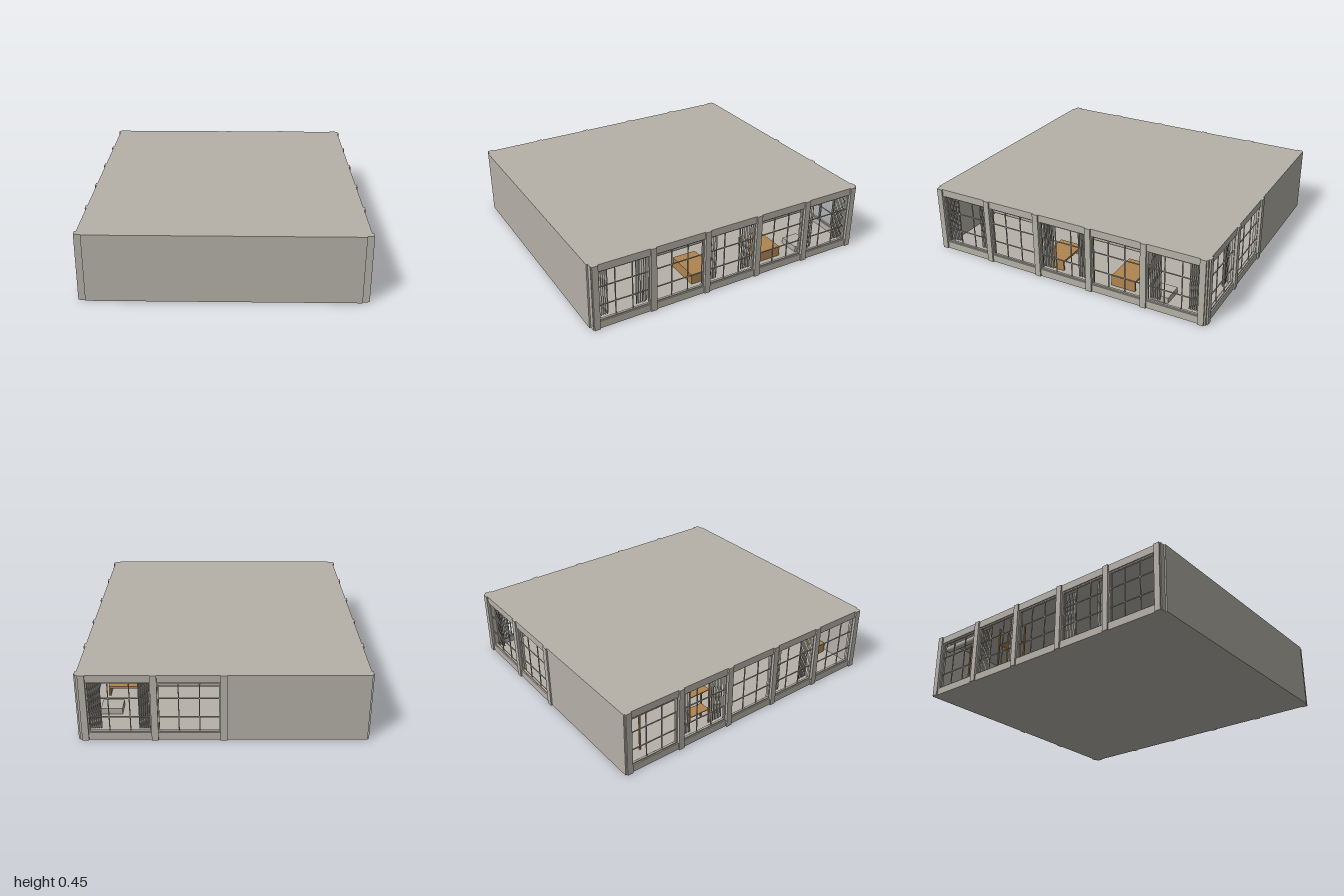
import * as THREE from 'three';

const concrete = new THREE.MeshStandardMaterial({ color: 0xb5b1a8 });
concrete.name = 'warm grey';
const fabric = new THREE.MeshStandardMaterial({ color: 0xaaa79f, side: THREE.DoubleSide });
fabric.name = 'curtain grey';
const wood = new THREE.MeshStandardMaterial({ color: 0xb08550 });
wood.name = 'wood';

// Box given by its minimum and maximum on each axis
function box(parent, name, x0, x1, y0, y1, z0, z1, mat = concrete) {
  const m = new THREE.Mesh(new THREE.BoxGeometry(x1 - x0, y1 - y0, z1 - z0), mat);
  m.position.set((x0 + x1) / 2, (y0 + y1) / 2, (z0 + z1) / 2);
  m.name = name;
  parent.add(m);
  return m;
}

// Pleated curtain hanging in the local xy plane
function curtain(parent, x, width) {
  const geo = new THREE.PlaneGeometry(width, 0.34, 24, 1);
  const p = geo.attributes.position;
  for (let i = 0; i < p.count; i++) {
    p.setZ(i, 0.008 * Math.sin((p.getX(i) / width + 0.5) * Math.PI * 12));
  }
  geo.computeVertexNormals();
  const m = new THREE.Mesh(geo, fabric);
  m.position.set(x, 0.225, -0.045);
  m.name = 'curtain';
  parent.add(m);
}

// One window bay of given clear width; local +z faces outdoors, z = 0 is the wall face
function windowBay(width, cover) {
  const g = new THREE.Group();
  g.name = 'windowBay';
  const h = width / 2;
  box(g, 'sill', -h, h, 0, 0.05, -0.03, 0);
  box(g, 'lintel', -h, h, 0.4, 0.45, -0.03, 0);
  // Thin frame around the opening
  box(g, 'frameBottom', -h, h, 0.05, 0.058, -0.022, -0.008);
  box(g, 'frameTop', -h, h, 0.392, 0.4, -0.022, -0.008);
  for (const s of [-1, 1]) {
    box(g, 'frameSide', s * (h - 0.004) - 0.004, s * (h - 0.004) + 0.004, 0.058, 0.392, -0.022, -0.008);
    // Glazing bars at the thirds
    const x = s * width / 6;
    box(g, 'verticalBar', x - 0.003, x + 0.003, 0.058, 0.392, -0.018, -0.012);
    const y = 0.22 + s * 0.065;
    box(g, 'horizontalBar', -h, h, y - 0.003, y + 0.003, -0.018, -0.012);
    if (cover === 'curtain') curtain(g, s * (h - 0.042), 0.076);
  }
  if (cover === 'blind') {
    const roll = new THREE.Mesh(new THREE.CylinderGeometry(0.023, 0.023, width - 0.01, 24), concrete);
    roll.rotation.z = Math.PI / 2;
    roll.position.set(0, 0.372, -0.055);
    roll.name = 'rollerBlind';
    g.add(roll);
  }
  return g;
}

// Desk with panel sides, a back panel and a thick top
function desk(parent, x0, x1, z0, z1, h) {
  const g = new THREE.Group();
  g.name = 'desk';
  box(g, 'deskTop', x0, x1, h - 0.015, h, z0, z1, wood);
  box(g, 'deskSide', x0, x0 + 0.012, 0.01, h - 0.015, z0, z1, wood);
  box(g, 'deskSide', x1 - 0.012, x1, 0.01, h - 0.015, z0, z1, wood);
  box(g, 'deskPanel', x0 + 0.012, x1 - 0.012, 0.01, h - 0.015, z1 - 0.012, z1, wood);
  parent.add(g);
}

export function createModel() {
  const root = new THREE.Group();
  root.name = 'officeFloor';

  // Slabs
  box(root, 'floorSlab', -0.888, 0.888, 0, 0.01, -0.988, 0.985);
  box(root, 'roofSlab', -0.888, 0.888, 0.435, 0.45, -0.988, 0.985);

  // Solid walls
  box(root, 'frontWall', -0.855, 0.855, 0, 0.45, 0.965, 1);
  box(root, 'backWall', -0.89, -0.02, 0, 0.45, -0.99, -0.96);

  // Side columns and window bays
  const first = -0.96, step = 0.385;
  for (const s of [-1, 1]) {
    for (let i = 0; i < 6; i++) {
      const z = first + i * step;
      box(root, 'sideColumn', Math.min(s * 0.9, s * 0.85), Math.max(s * 0.9, s * 0.85), 0, 0.45, z - 0.02, z + 0.02);
    }
    for (let i = 0; i < 5; i++) {
      const even = i % 2 === 0;
      let cover = even ? 'curtain' : 'blind';
      if (s < 0) cover = i === 0 ? 'blind' : even ? 'none' : 'curtain';
      const bay = windowBay(step - 0.04, cover);
      bay.position.set(s * 0.89, 0, first + (i + 0.5) * step);
      bay.rotation.y = s * Math.PI / 2;
      root.add(bay);
    }
    // Front corner posts
    box(root, 'cornerPost', s > 0 ? 0.855 : -0.89, s > 0 ? 0.89 : -0.855, 0, 0.45, 0.96, 0.99);
  }

  // Back columns and window bays
  const backX = [0, 0.425, 0.855];
  backX.forEach((x) => box(root, 'backColumn', x - 0.021, x + 0.021, 0, 0.45, -1, -0.95));
  box(root, 'backCornerPost', 0.876, 0.89, 0, 0.45, -0.99, -0.95);
  for (let i = 0; i < 2; i++) {
    const bay = windowBay(backX[i + 1] - backX[i] - 0.042, i ? 'curtain' : 'blind');
    bay.position.set((backX[i] + backX[i + 1]) / 2, 0, -0.99);
    bay.rotation.y = Math.PI;
    root.add(bay);
  }

  // Furniture
  desk(root, 0.54, 0.78, 0.07, 0.24, 0.08);
  desk(root, 0.54, 0.78, -0.46, -0.29, 0.08);
  desk(root, -0.66, -0.42, 0.85, 0.94, 0.08);
  box(root, 'lowBench', 0.66, 0.8, 0.01, 0.05, -0.7, -0.58);

  // Open wooden rack by the right-hand windows
  const rack = new THREE.Group();
  rack.name = 'rack';
  for (const z of [-0.28, -0.44]) {
    for (const x of [-0.8, -0.72]) box(rack, 'rackPost', x - 0.005, x + 0.005, 0.01, 0.39, z - 0.005, z + 0.005, wood);
  }
  for (const y of [0.11, 0.265]) box(rack, 'rackShelf', -0.8, -0.72, y, y + 0.006, -0.44, -0.28, wood);
  box(rack, 'tallPost', -0.76, -0.75, 0.01, 0.39, -0.795, -0.785, wood);
  root.add(rack);

  return root;
}
